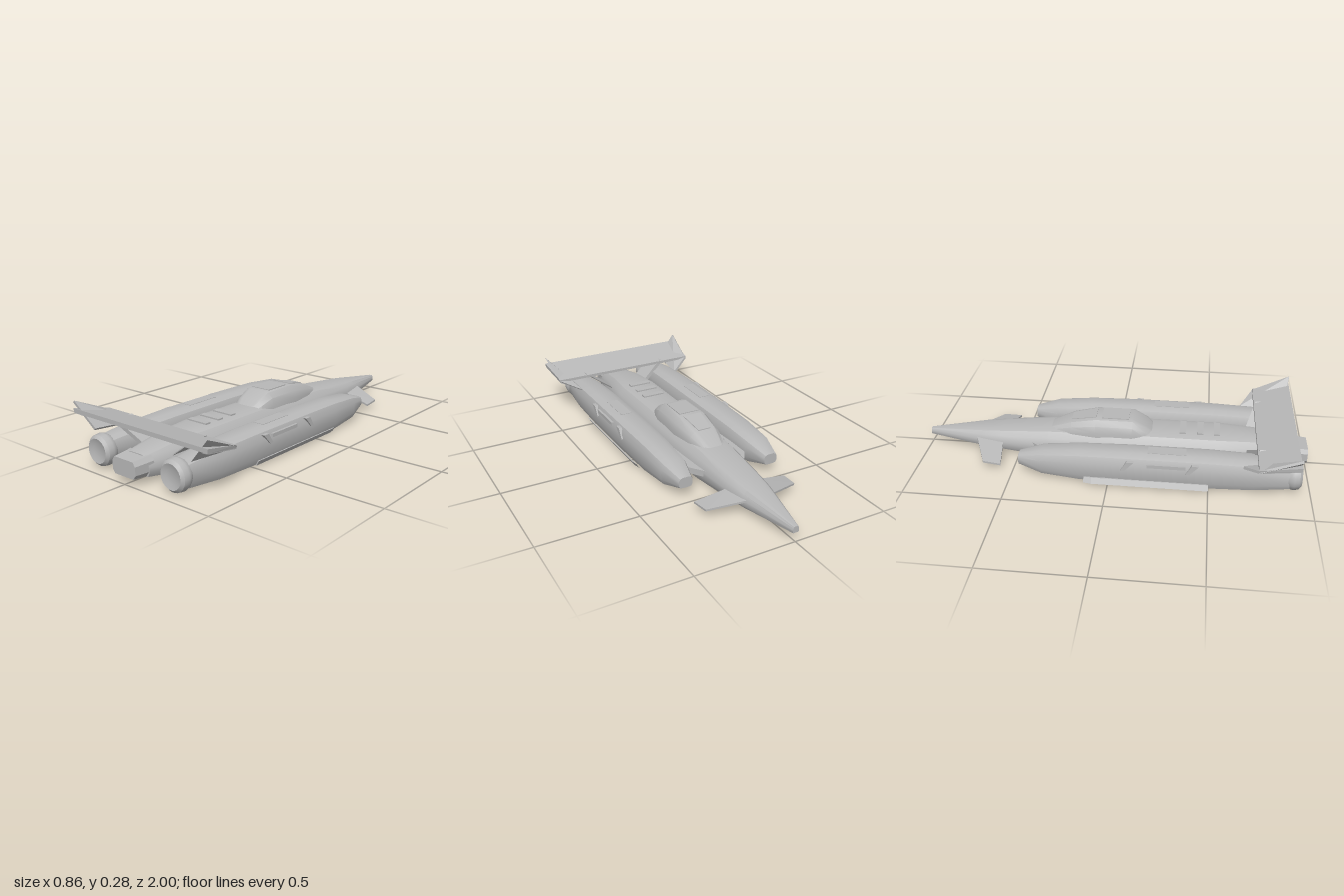
import * as THREE from 'three';
import { toCreasedNormals } from 'three/addons/utils/BufferGeometryUtils.js';
import { ConvexGeometry } from 'three/addons/geometries/ConvexGeometry.js';

// Loft a half profile (u = share of half width, v = share of height, bottom to top)
// along z through stations [z, halfWidth, yBottom, yTop].
function loft(half, stations, cx = 0, crease = 0.5) {
  const ring = [...half, ...half.map(([u, v]) => [-u, v]).reverse()];
  const n = ring.length, pos = [], idx = [];
  for (const [z, w, y0, y1] of stations)
    for (const [u, v] of ring) pos.push(cx + u * w, y0 + v * (y1 - y0), z);
  for (let i = 0; i < stations.length - 1; i++)
    for (let j = 0; j < n; j++) {
      const a = i * n + j, b = i * n + (j + 1) % n;
      idx.push(a, b, b + n, a, b + n, a + n);
    }
  const last = (stations.length - 1) * n;
  for (let j = 1; j < n - 1; j++) idx.push(0, j + 1, j, last, last + j, last + j + 1);
  const g = new THREE.BufferGeometry();
  g.setAttribute('position', new THREE.Float32BufferAttribute(pos, 3));
  g.setIndex(idx);
  return toCreasedNormals(g, crease);
}

// Thin plate: an outline thickened along the offset (dx, dy).
function plate(outline, dx, dy) {
  const pts = [];
  for (const [x, y, z] of outline)
    for (const k of [-1, 1]) pts.push(new THREE.Vector3(x + k * dx, y + k * dy, z));
  return new ConvexGeometry(pts);
}

export function createModel() {
  const model = new THREE.Group();
  const grey = new THREE.MeshStandardMaterial({ color: 0xb8b8b8 });
  grey.name = 'hull grey';
  const add = (name, geometry, parent = model) => {
    const mesh = new THREE.Mesh(geometry, grey);
    mesh.name = name;
    parent.add(mesh);
    return mesh;
  };
  const box = (name, w, h, d, x, y, z, parent) => {
    const m = add(name, new THREE.BoxGeometry(w, h, d), parent);
    m.position.set(x, y, z);
    return m;
  };

  // Central fuselage with its long needle nose
  const hullProfile = [[0.88, 0], [1, 0.22], [1, 0.48], [0.86, 0.76], [0.66, 0.94], [0.4, 1]];
  add('fuselage', loft(hullProfile, [
    [-1, 0.016, 0.05, 0.082], [-0.7, 0.085, 0.034, 0.12], [-0.6, 0.098, 0.028, 0.13],
    [-0.34, 0.122, 0.012, 0.155], [0, 0.14, 0.004, 0.17], [0.55, 0.14, 0.004, 0.17],
    [0.73, 0.115, 0.01, 0.163], [0.93, 0.085, 0.035, 0.13],
  ]));

  // Exhaust block at the tail
  const chamfered = [[0.8, 0], [1, 0.25], [1, 0.75], [0.8, 1]];
  add('tailExhaust', loft(chamfered, [[0.9, 0.084, 0.036, 0.128], [1, 0.074, 0.04, 0.12]]));

  // Canopy and its roof window
  const canopyProfile = [[1, 0], [1, 0.4], [0.9, 0.72], [0.66, 0.96], [0.5, 1]];
  add('canopy', loft(canopyProfile, [
    [-0.33, 0.06, 0.12, 0.155], [-0.22, 0.09, 0.12, 0.203], [-0.09, 0.104, 0.12, 0.231],
    [0.1, 0.104, 0.12, 0.232], [0.17, 0.092, 0.12, 0.195], [0.21, 0.07, 0.12, 0.162],
  ]));
  add('canopyWindow', plate([
    [-0.035, 0.204, -0.22], [0.035, 0.204, -0.22], [0.05, 0.231, -0.09], [-0.05, 0.231, -0.09],
  ], 0, 0.003));
  box('canopyHatch', 0.11, 0.006, 0.14, 0, 0.232, 0.01);

  // Cooling slats behind the canopy
  for (const z of [0.36, 0.45, 0.535]) box('coolingSlat', 0.12, 0.014, 0.032, 0, 0.17, z);

  // Full-width rear wing
  add('rearWing', new ConvexGeometry([-1, 1].flatMap((s) => [
    [0.41, 0.19, 0.73], [0.413, 0.205, 0.73], [0.43, 0.225, 0.925], [0.432, 0.246, 0.925],
  ].map(([x, y, z]) => new THREE.Vector3(s * x, y, z)))));

  const podProfile = [[0.42, 0], [0.82, 0.06], [1, 0.27], [1, 0.7], [0.82, 0.91], [0.42, 1]];
  for (const s of [1, -1]) {
    const side = new THREE.Group();
    side.name = s > 0 ? 'leftSide' : 'rightSide';
    model.add(side);
    const fin = (name, pts, dx, dy) =>
      add(name, plate(pts.map(([x, y, z]) => [s * x, y, z]), dx, dy), side);

    // Engine pod
    add('enginePod', loft(podProfile, [
      [-0.46, 0.036, 0.06, 0.115], [-0.34, 0.068, 0.025, 0.15], [-0.15, 0.078, 0.006, 0.167],
      [0.1, 0.083, 0.003, 0.172], [0.5, 0.083, 0.003, 0.172], [0.72, 0.078, 0.008, 0.165],
      [0.9, 0.064, 0.024, 0.146],
    ], s * 0.24), side);

    // Round nozzle with a recessed ring and hub
    const profile = [[0, 0.88], [0.062, 0.88], [0.075, 0.9], [0.078, 0.915], [0.074, 0.94],
      [0.06, 0.953], [0.034, 0.945], [0, 0.945]].map(([r, z]) => new THREE.Vector2(r, z));
    const nozzle = add('nozzle', toCreasedNormals(new THREE.LatheGeometry(profile, 20), 0.5), side);
    nozzle.rotation.x = Math.PI / 2;
    nozzle.position.set(s * 0.24, 0.085, 0);

    // Web joining the pod to the fuselage
    fin('podWeb', [[0.11, 0.075, -0.42], [0.165, 0.075, -0.34], [0.165, 0.075, 0.55],
      [0.11, 0.075, 0.6]], 0, 0.016);

    // Drooping canard beside the nose
    fin('canard', [[0.07, 0.08, -0.73], [0.245, 0.042, -0.655], [0.252, 0.036, -0.562],
      [0.08, 0.075, -0.585]], 0, 0.005);

    // Outer fin rising from the pod through the wing tip
    fin('outerFin', [[0.3, 0.145, 0.66], [0.41, 0.195, 0.73], [0.428, 0.28, 0.925],
      [0.315, 0.16, 0.9]], 0.004, 0.005);
    fin('wingTipGusset', [[0.31, 0.15, 0.7], [0.41, 0.19, 0.73], [0.428, 0.225, 0.92],
      [0.35, 0.2, 0.88]], 0, 0.004);

    // Inner strut holding the wing
    fin('wingStrut', [[0.09, 0.1, 0.68], [0.245, 0.205, 0.74], [0.245, 0.205, 0.84],
      [0.09, 0.1, 0.8]], 0.007, 0.008);

    // Rail and raised panels on the outer flank
    fin('sideRail', [[0.327, 0.031, -0.12], [0.334, 0.031, -0.08], [0.334, 0.031, 0.5],
      [0.327, 0.031, 0.5]], 0.008, 0.013);
    box('flankPanel', 0.012, 0.018, 0.19, s * 0.322, 0.132, 0.29, side);
    for (const z of [0.1, 0.42])
      fin('flankVent', [[0.322, 0.15, z + 0.03], [0.322, 0.15, z - 0.005],
        [0.322, 0.1, z - 0.035], [0.322, 0.1, z - 0.015]], 0.009, 0);
    box('podTopPanel', 0.06, 0.006, 0.19, s * 0.24, 0.171, 0.29, side);
  }
  return model;
}
